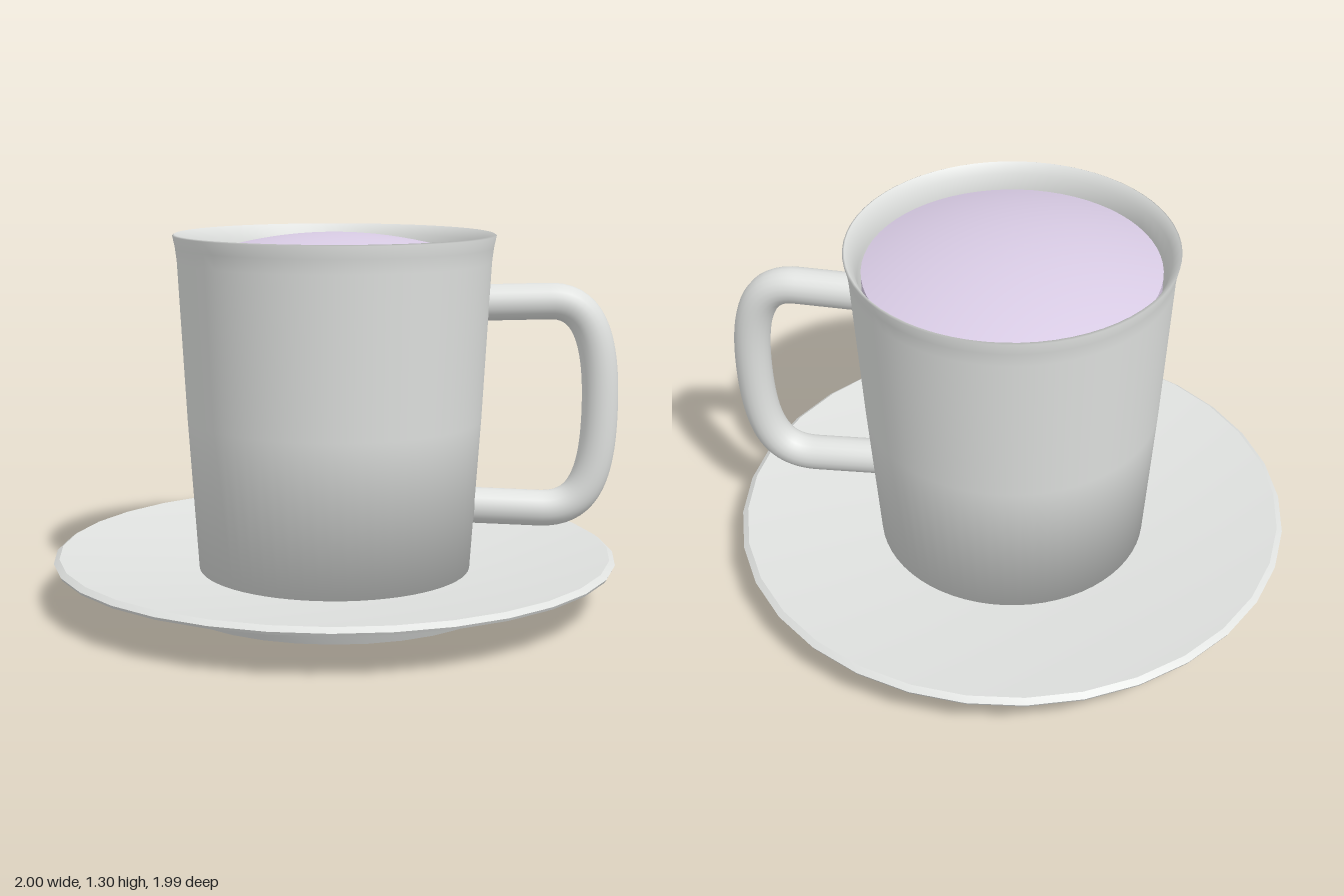
import * as THREE from 'three';
import { toCreasedNormals } from 'three/addons/utils/BufferGeometryUtils.js';

const material = (name, color) => {
  const m = new THREE.MeshStandardMaterial({ color });
  m.name = name;
  return m;
};

const lathe = (profile, sides) =>
  new THREE.LatheGeometry(profile.map(([r, y]) => new THREE.Vector2(r, y)), sides);

export function createModel() {
  const china = material('white china', 0xdfe1df);
  const drink = material('lilac drink', 0xd8cbe4);
  const model = new THREE.Group();
  model.name = 'cupAndSaucer';

  const add = (name, geometry, mat) => {
    const mesh = new THREE.Mesh(geometry, mat);
    mesh.name = name;
    model.add(mesh);
    return mesh;
  };

  // Saucer: flat foot, flared underside, thin rim and shallow dished top
  const saucer = lathe([
    [0, 0], [0.6, 0], [0.62, 0.04], [0.99, 0.15], [0.995, 0.16],
    [0.975, 0.175], [0.5, 0.11], [0, 0.11],
  ], 32);
  add('saucer', toCreasedNormals(saucer, 0.5), china);

  // Cup: tapered wall with a flared lip, soft shading towards the base
  add('cup', lathe([
    [0, 0.112], [0.483, 0.112], [0.518, 0.65], [0.547, 1.2], [0.553, 1.25],
    [0.562, 1.292], [0.555, 1.296], [0.532, 1.26], [0.518, 1.2],
    [0.49, 0.65], [0.455, 0.16], [0, 0.16],
  ], 64), china);

  // Drink: short side wall below a domed surface
  const dome = [[0.505, 1.13]];
  for (let i = 0; i <= 12; i++) {
    const t = i / 12;
    dome.push([0.505 * (1 - t), 1.21 + 0.088 * (1 - (1 - t) ** 2)]);
  }
  add('drink', toCreasedNormals(lathe(dome, 64), 0.7), drink);

  // Handle: round tube, two straight arms joined by a bowed grip
  const v = (x, y) => new THREE.Vector3(x, y, 0);
  const path = new THREE.CurvePath();
  path.add(new THREE.LineCurve3(v(0.525, 1.055), v(0.75, 1.06)));
  path.add(new THREE.CubicBezierCurve3(v(0.75, 1.06), v(0.88, 1.065), v(0.937, 0.95), v(0.937, 0.7)));
  path.add(new THREE.CubicBezierCurve3(v(0.937, 0.7), v(0.937, 0.42), v(0.88, 0.315), v(0.73, 0.32)));
  path.add(new THREE.LineCurve3(v(0.73, 0.32), v(0.495, 0.33)));
  add('handle', new THREE.TubeGeometry(path, 64, 0.064, 20), china);

  // Discs closing the two ends of the handle
  for (const [x, y] of [[0.525, 1.055], [0.495, 0.33]]) {
    const cap = add('handleEnd', new THREE.CircleGeometry(0.064, 20), china);
    cap.position.set(x, y, 0);
    cap.rotation.y = -Math.PI / 2;
  }

  return model;
}
